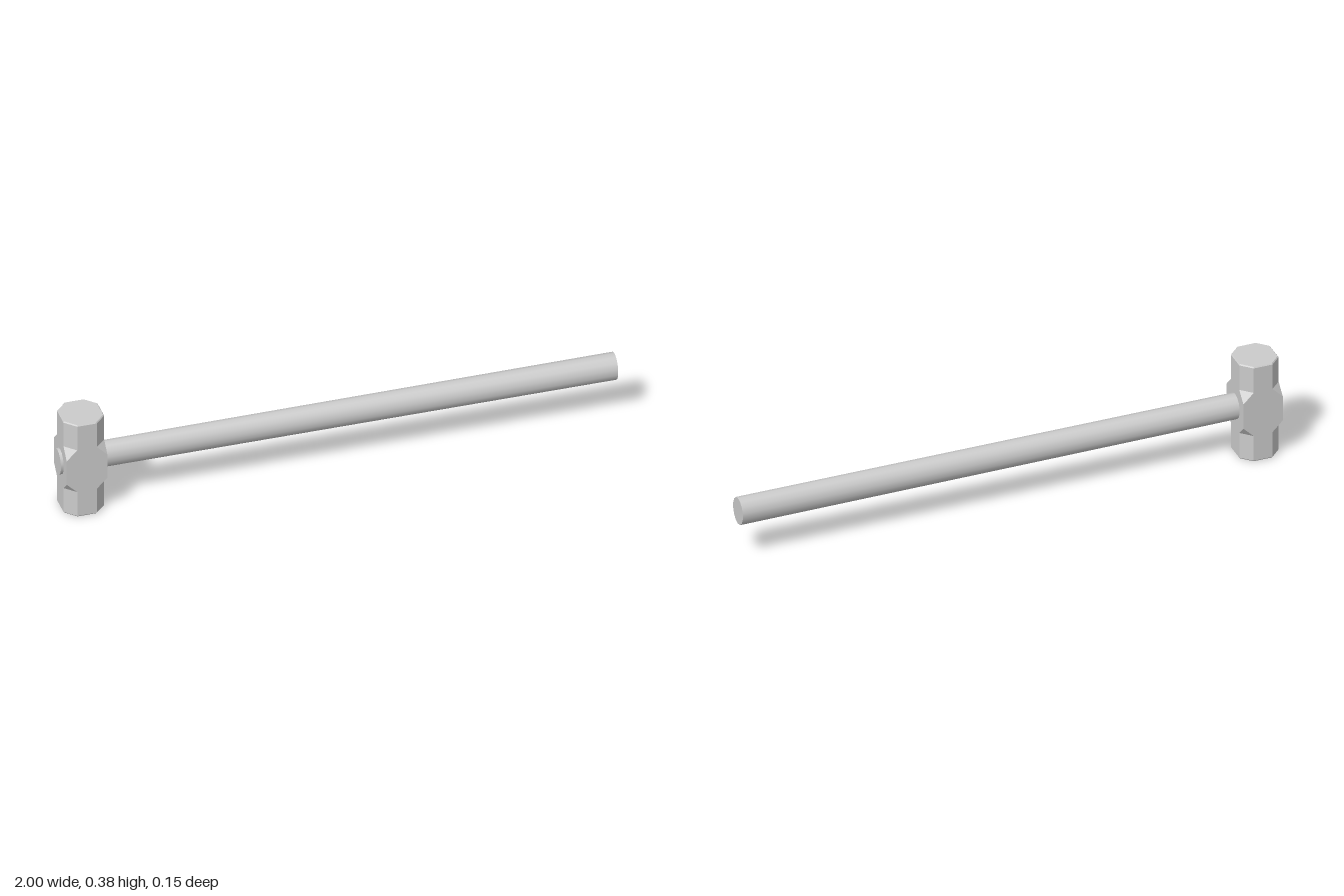
import * as THREE from 'three';

// Rectangular ring with cut corners, counter-clockwise seen from above
function ring(y, hx, hz, cut) {
  return [
    [hx - cut, hz], [hx, hz - cut], [hx, cut - hz], [hx - cut, -hz],
    [cut - hx, -hz], [-hx, cut - hz], [-hx, hz - cut], [cut - hx, hz],
  ].map(([x, z]) => new THREE.Vector3(x, y, z));
}

// Flat-faced solid through a stack of rings, closed at both ends
function loft(rings) {
  const points = [];
  const tri = (a, b, c) => {
    if (new THREE.Triangle(a, b, c).getArea() > 1e-8) points.push(a, b, c);
  };
  const n = rings[0].length;
  for (let k = 0; k < rings.length - 1; k++) {
    const lo = rings[k], hi = rings[k + 1];
    for (let i = 0; i < n; i++) {
      const j = (i + 1) % n;
      tri(lo[i], lo[j], hi[j]);
      tri(lo[i], hi[j], hi[i]);
    }
  }
  const bottom = rings[0], top = rings[rings.length - 1];
  for (let i = 1; i < n - 1; i++) {
    tri(bottom[0], bottom[i + 1], bottom[i]);
    tri(top[0], top[i], top[i + 1]);
  }
  const geometry = new THREE.BufferGeometry().setFromPoints(points);
  geometry.computeVertexNormals();
  return geometry;
}

export function createModel() {
  const group = new THREE.Group();
  group.name = 'sledgehammer';

  // Head: octagonal striking ends, square middle, fine bevel on each face
  const hx = 0.073, hz = 0.076, cut = 0.038, bevel = 0.003;
  const head = new THREE.Mesh(
    loft([
      ring(0, hx - bevel, hz - bevel, cut - bevel / 2),
      ring(0.004, hx, hz, cut),
      ring(0.103, hx, hz, cut),
      ring(0.141, hx, hz, 0),
      ring(0.238, hx, hz, 0),
      ring(0.276, hx, hz, cut),
      ring(0.374, hx, hz, cut),
      ring(0.378, hx - bevel, hz - bevel, cut - bevel / 2),
    ]),
    new THREE.MeshStandardMaterial({ color: 0xcccccc, flatShading: true })
  );
  head.name = 'head';
  head.position.x = -0.917;
  group.add(head);

  // Handle: oval shaft through the head, slightly thicker at the grip end
  const shaft = new THREE.CylinderGeometry(1, 0.94, 2, 14);
  shaft.rotateY(Math.PI / 2).rotateZ(-Math.PI / 2).scale(1, 0.051, 0.0445);
  shaft.computeVertexNormals();
  // Share the normals where the side wraps round
  const normal = shaft.attributes.normal;
  for (const row of [0, 15]) {
    const sum = new THREE.Vector3().fromBufferAttribute(normal, row)
      .add(new THREE.Vector3().fromBufferAttribute(normal, row + 14)).normalize();
    for (const i of [row, row + 14]) normal.setXYZ(i, sum.x, sum.y, sum.z);
  }
  const handle = new THREE.Mesh(shaft, new THREE.MeshStandardMaterial({ color: 0xcccccc }));
  handle.name = 'handle';
  handle.position.y = 0.191;
  group.add(handle);

  return group;
}
